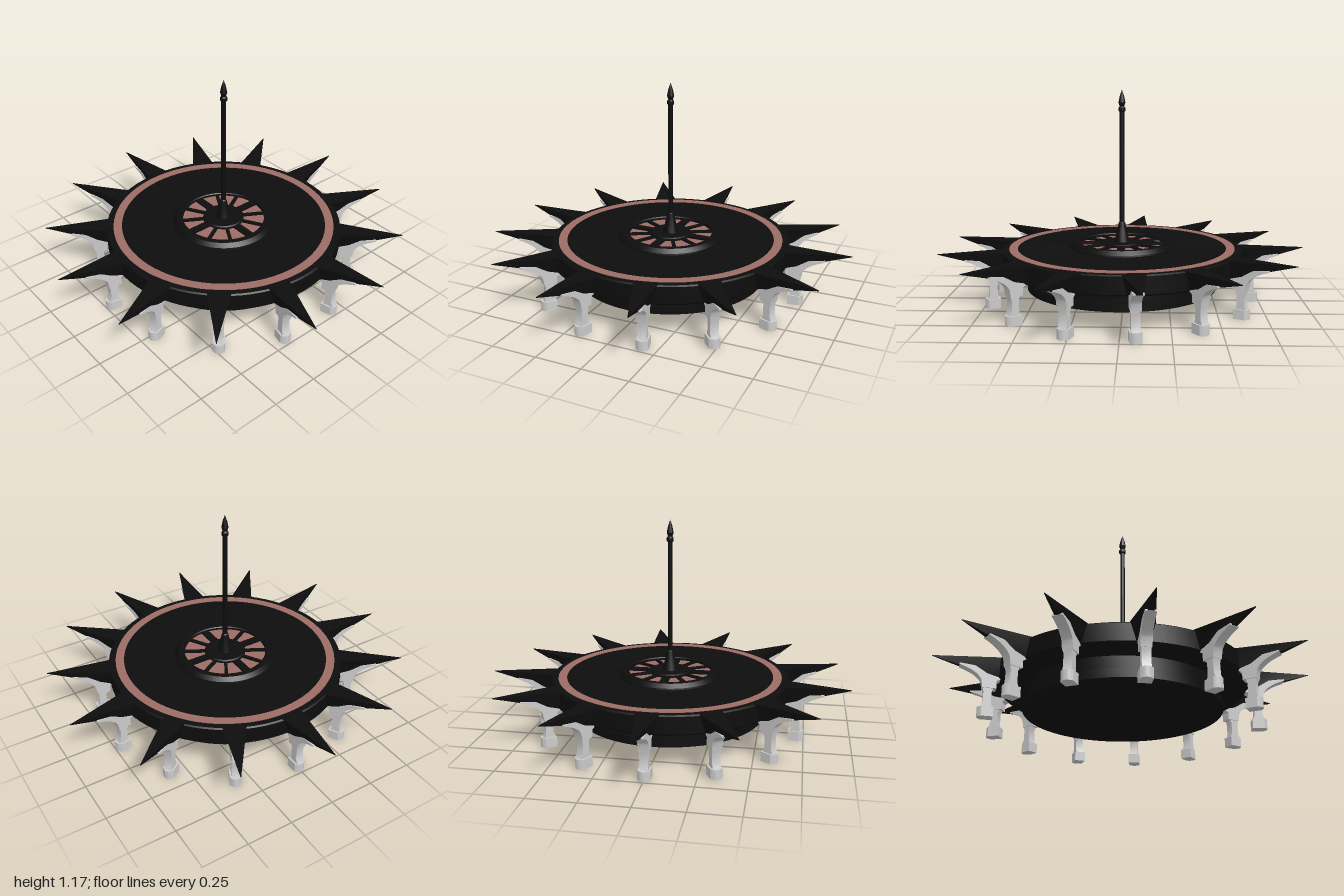
import * as THREE from 'three';
import { toCreasedNormals } from 'three/addons/utils/BufferGeometryUtils.js';

const COUNT = 13; // spikes and legs around the rim
const black = new THREE.MeshStandardMaterial({ color: 0x0d0d0d });
const pink = new THREE.MeshStandardMaterial({ color: 0x9c6c64 });
const grey = new THREE.MeshStandardMaterial({ color: 0xcccccc });

function add(parent, name, geometry, material) {
  const mesh = new THREE.Mesh(toCreasedNormals(geometry, 0.5), material);
  mesh.name = name;
  parent.add(mesh);
  return mesh;
}

// Revolved profile, listed counter-clockwise as [radius, height]
function lathe(points, segments = 78) {
  return new THREE.LatheGeometry(points.map(([r, y]) => new THREE.Vector2(r, y)), segments);
}

// Side outline in (radius, height), extruded symmetrically across its width
function slab(shape, width) {
  return new THREE.ExtrudeGeometry(shape, { depth: width, bevelEnabled: false, curveSegments: 8 })
    .translate(0, 0, -width / 2);
}

function polygon(points) {
  return new THREE.Shape(points.map(([x, y]) => new THREE.Vector2(x, y)));
}

// Tapering spike: trapezoid section at the rim, shrinking to a point at the tip
function spikeGeometry() {
  const g = new THREE.BoxGeometry(1, 1, 1);
  const p = g.attributes.position;
  for (let i = 0; i < p.count; i++) {
    const outer = p.getX(i) > 0, top = p.getY(i) > 0, side = Math.sign(p.getZ(i));
    const half = outer ? 0.001 : top ? 0.066 : 0.036;
    p.setXYZ(i, outer ? 1.0 : 0.62, top ? 0.307 : outer ? 0.304 : 0.2, side * half);
  }
  g.computeVertexNormals();
  return g;
}

function makeLeg() {
  const leg = new THREE.Group();
  leg.name = 'leg';

  // Foot block with a rounded toe, drawn in plan and raised
  const plan = new THREE.Shape();
  plan.moveTo(0.675, -0.031);
  plan.lineTo(0.735, -0.031);
  plan.quadraticCurveTo(0.775, 0, 0.735, 0.031);
  plan.lineTo(0.675, 0.031);
  const foot = new THREE.ExtrudeGeometry(plan, { depth: 0.052, bevelEnabled: false, curveSegments: 8 });
  add(leg, 'foot', foot.rotateX(-Math.PI / 2), grey);

  // Shaft, slim at the ankle and fuller at the knee
  add(leg, 'shaft', slab(polygon([
    [0.682, 0.05], [0.742, 0.05], [0.732, 0.075], [0.73, 0.13], [0.738, 0.155],
    [0.738, 0.2], [0.68, 0.2], [0.68, 0.155], [0.69, 0.13], [0.69, 0.075],
  ]), 0.044), grey);

  // Curved bracket spreading outward under the spike
  const bracket = new THREE.Shape();
  bracket.moveTo(0.668, 0.15);
  bracket.lineTo(0.738, 0.15);
  bracket.lineTo(0.745, 0.19);
  bracket.quadraticCurveTo(0.765, 0.235, 0.86, 0.264);
  bracket.lineTo(0.86, 0.272);
  bracket.lineTo(0.64, 0.25);
  bracket.lineTo(0.64, 0.205);
  bracket.lineTo(0.668, 0.19);
  add(leg, 'bracket', slab(bracket, 0.054), grey);
  return leg;
}

export function createModel() {
  const model = new THREE.Group();
  model.name = 'spikedPlatform';
  const body = new THREE.Group();
  body.name = 'body';
  body.position.z = 0.01;
  model.add(body);

  // Drum with base flange, overhanging rim and flat deck
  add(body, 'drumAndDeck', lathe([
    [0, 0.085], [0.525, 0.085], [0.525, 0.13], [0.508, 0.13], [0.508, 0.2],
    [0.65, 0.2], [0.66, 0.21], [0.66, 0.3], [0.652, 0.306], [0, 0.306],
  ]), black);
  add(body, 'deckRing', lathe([
    [0.575, 0.3], [0.622, 0.3], [0.622, 0.309], [0.575, 0.309], [0.575, 0.3],
  ]), pink);

  // Fine radial ribs on the deck
  for (let i = 0; i < 26; i++) {
    const a = (i / 26) * Math.PI * 2;
    const rib = add(body, 'deckRib', new THREE.BoxGeometry(0.29, 0.006, 0.006).translate(0.425, 0.305, 0), black);
    rib.rotation.y = a;
  }

  // Raised hub: chamfered collar, inset panel, spokes and centre cap
  add(body, 'hubCollar', lathe([
    [0.23, 0.3], [0.288, 0.3], [0.285, 0.314], [0.265, 0.335], [0.235, 0.335], [0.23, 0.33], [0.23, 0.3],
  ]), black);
  add(body, 'hubPanel', lathe([[0.23, 0.318], [0, 0.318]]), pink);
  for (let i = 0; i < 12; i++) {
    const width = i % 3 === 0 ? 0.042 : 0.018;
    const spoke = add(body, 'hubSpoke', new THREE.BoxGeometry(0.15, 0.016, width).translate(0.165, 0.322, 0), black);
    spoke.rotation.y = (i / 12) * Math.PI * 2;
  }
  add(body, 'hubCap', lathe([[0.115, 0.31], [0.115, 0.33], [0.108, 0.335], [0, 0.335]], 48), black);

  // Mast with flared base, collar and spear finial
  add(body, 'mast', lathe([
    [0.044, 0.33], [0.04, 0.345], [0.022, 0.42], [0.018, 0.44], [0.013, 0.445], [0.013, 1.05],
    [0.019, 1.056], [0.019, 1.072], [0.012, 1.08], [0.019, 1.1], [0.012, 1.135], [0, 1.17],
  ], 16), black);

  // Spikes around the rim, each carried by a leg
  for (let i = 0; i < COUNT; i++) {
    const bay = new THREE.Group();
    bay.name = 'spikeAndLeg';
    bay.rotation.y = Math.PI / 2 + (i / COUNT) * Math.PI * 2;
    add(bay, 'spike', spikeGeometry(), black);
    bay.add(makeLeg());
    body.add(bay);
  }
  return model;
}
